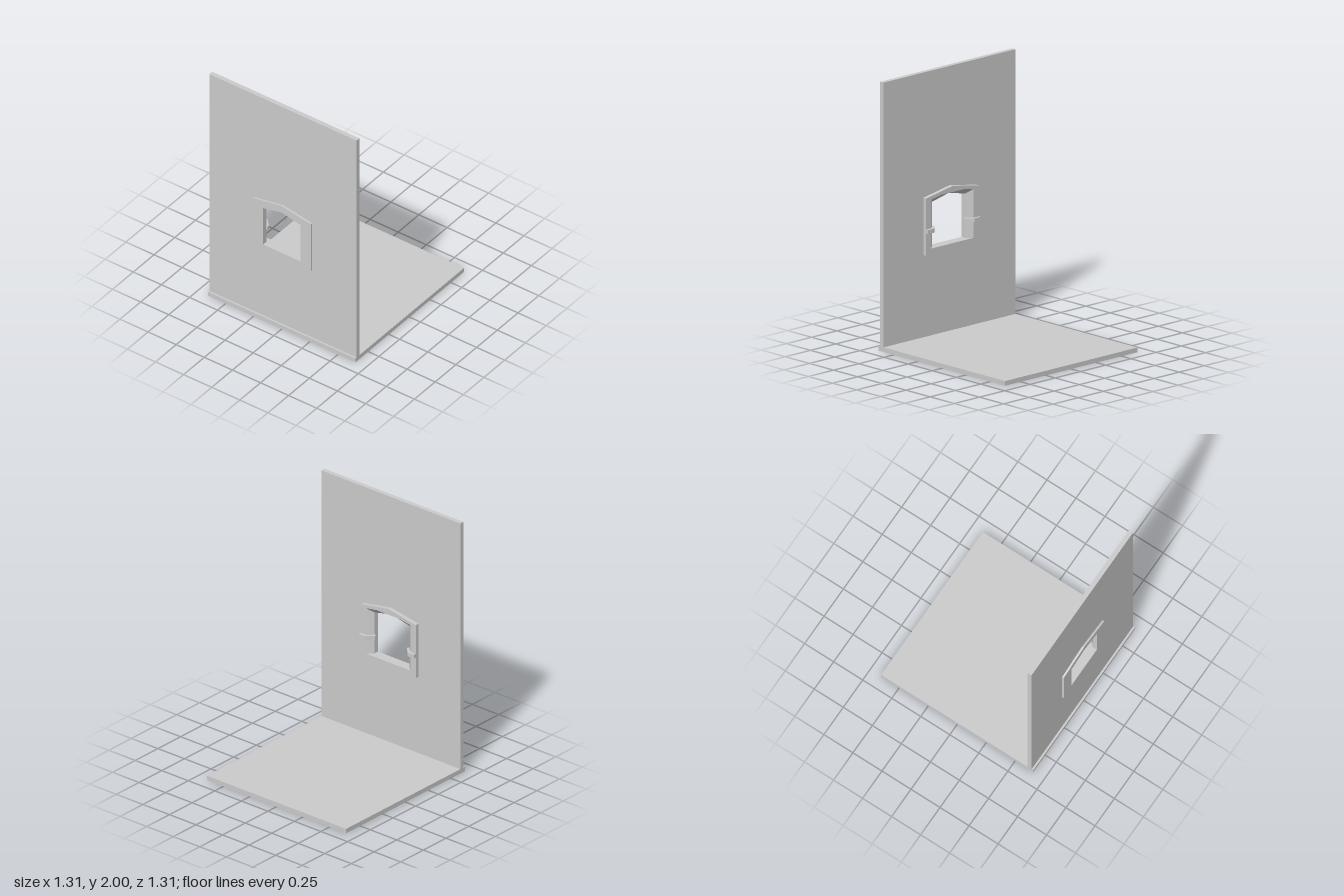
import * as THREE from 'three';

const material = new THREE.MeshStandardMaterial({ color: 0xcccccc, flatShading: true });
const points = (list) => list.map(([x, y]) => new THREE.Vector2(x, y));

function addMesh(group, name, geometry, x = 0, y = 0, z = 0) {
  const mesh = new THREE.Mesh(geometry, material);
  mesh.name = name;
  mesh.position.set(x, y, z);
  group.add(mesh);
}

function extrude(outline, hole, depth, steps = 1) {
  const shape = new THREE.Shape(points(outline));
  if (hole) shape.holes.push(new THREE.Path(points(hole)));
  return new THREE.ExtrudeGeometry(shape, { depth, steps, bevelEnabled: false });
}

export function createModel() {
  const model = new THREE.Group();
  const half = 0.655, thick = 0.035;

  // Outer edge of the collar and the opening through it
  const collarEdge = [[-0.26, 0.645], [0, 0.595], [0.26, 0.645], [0.26, 1.07], [0, 1.115], [-0.26, 1.07]];
  const opening = [[-0.165, 0.69], [0.165, 0.69], [0.165, 1.02], [0, 1.055], [-0.165, 1.02]];

  // Floor plate
  addMesh(model, 'basePlate', new THREE.BoxGeometry(2 * half, thick, 2 * half), 0, thick / 2, 0);

  // Upright panel, cut out to take the collar
  const panelEdge = [[-half, thick], [half, thick], [half, 2], [-half, 2]];
  addMesh(model, 'uprightPanel', extrude(panelEdge, collarEdge, thick), 0, 0, 0.605);

  // Collar whose opening flares at the sides and top towards the back
  const collar = extrude(collarEdge, opening, 0.08, 2);
  const pos = collar.attributes.position;
  for (let i = 0; i < pos.count; i++) {
    const x = pos.getX(i), y = pos.getY(i);
    const inner = opening.some(([px, py]) => Math.hypot(px - x, py - y) < 1e-4);
    if (!inner || pos.getZ(i) > 1e-4) continue;
    pos.setXY(i, x * 0.21 / 0.165, y > 1 ? y + 0.033 : y);
  }
  collar.computeVertexNormals();
  addMesh(model, 'collar', collar, 0, 0, 0.575);

  // Bent clips following the flared side walls
  const clipProfile = [[0.26, 0.555], [0.2, 0.555], [0.15, 0.605], [0.15, 0.62],
    [0.165, 0.62], [0.165, 0.615], [0.21, 0.575], [0.26, 0.575]];
  for (const side of [-1, 1]) {
    const clip = extrude(clipProfile.map(([x, z]) => [side * x, -z]), null, 0.03);
    clip.rotateX(-Math.PI / 2);
    addMesh(model, side > 0 ? 'leftClip' : 'rightClip', clip, 0, 0.81, 0);
  }
  return model;
}
